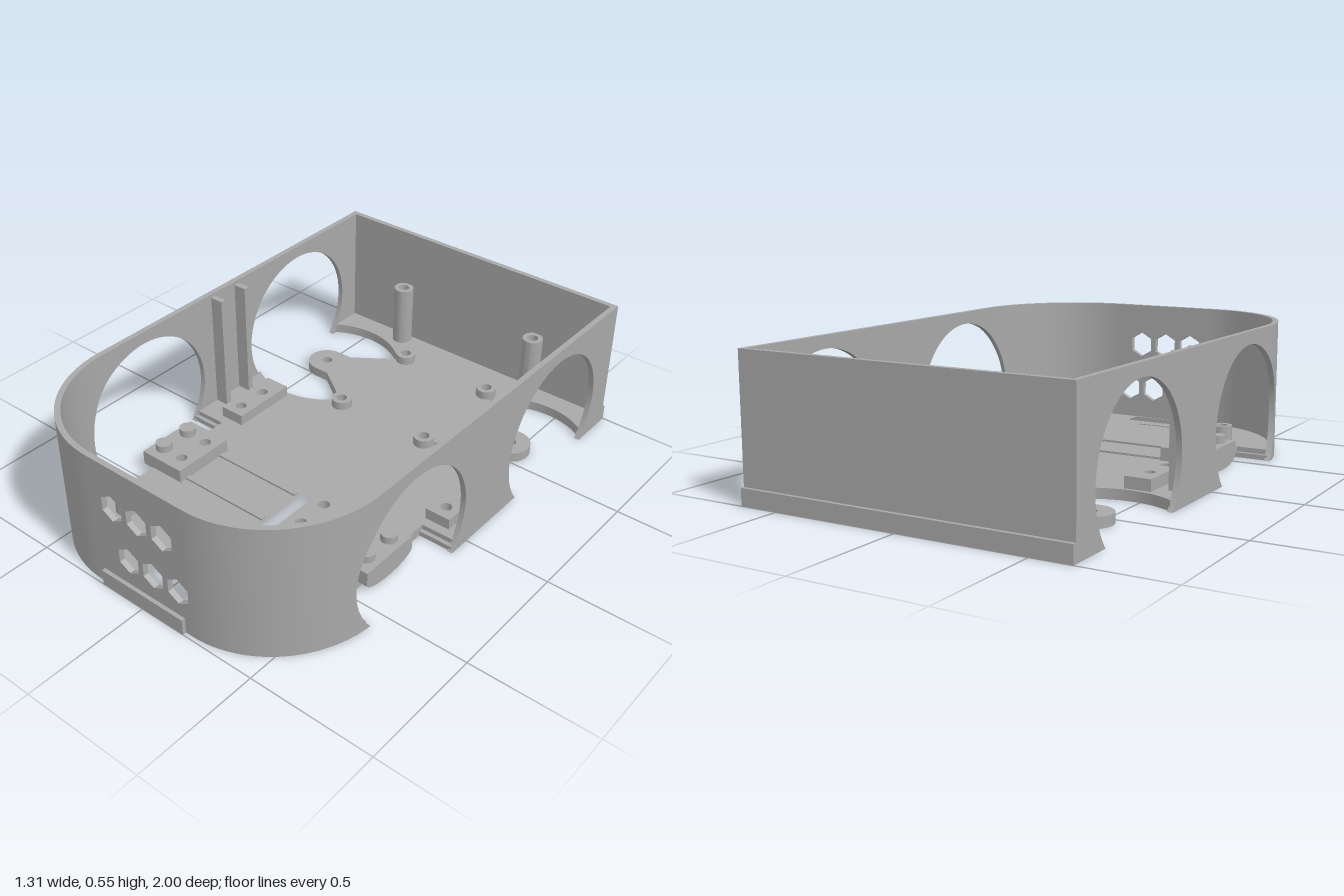
import * as THREE from 'three';
import { toCreasedNormals } from 'three/addons/utils/BufferGeometryUtils.js';

const H = 0.545, T = 0.022, FLOOR = 0.04, HOLE = 0.022;
const WHEEL_R = 0.305, WHEEL_Y = 0.19, WHEELS = [-0.565, 0.33];
const CORNER = { x: 0.222, z: 0.53, rx: 0.433, rz: 0.455 };

export function createModel() {
  const group = new THREE.Group();
  const grey = new THREE.MeshStandardMaterial({ color: 0xa8a8a8 });
  grey.name = 'grey plastic';

  const add = (name, geo) => {
    const mesh = new THREE.Mesh(toCreasedNormals(geo, 0.5), grey);
    mesh.name = name;
    group.add(mesh);
    return mesh;
  };
  const box = (name, x0, x1, y0, y1, z0, z1) =>
    add(name, new THREE.BoxGeometry(x1 - x0, y1 - y0, z1 - z0)
      .translate((x0 + x1) / 2, (y0 + y1) / 2, (z0 + z1) / 2));

  // Plan shapes are drawn as (x, -z) and raised from y0 to y1
  const circle = (x, z, r) => new THREE.Path().absarc(x, -z, r, 0, Math.PI * 2);
  const rect = (x0, x1, z0, z1) => [[x0, z0], [x1, z0], [x1, z1], [x0, z1]].map(([x, z]) => new THREE.Vector2(x, -z));
  const raise = (name, points, holes, y0, y1) => {
    const shape = new THREE.Shape(points);
    shape.holes = holes;
    const geo = new THREE.ExtrudeGeometry(shape, { depth: y1 - y0, bevelEnabled: false, curveSegments: 12 });
    return add(name, geo.rotateX(-Math.PI / 2).translate(0, y0, 0));
  };
  const arc = (cx, cz, rx, rz, a0, a1, n) => Array.from({ length: n + 1 }, (_, i) => {
    const a = a0 + (a1 - a0) * i / n;
    return [cx + rx * Math.cos(a), cz + rz * Math.sin(a)];
  });

  // Screw positions
  const posts = [];
  for (const s of [-1, 1]) {
    posts.push([s * 0.33, -0.925, 0.3], [s * 0.21, -0.79, 0.075],
      [s * 0.21, -0.345, 0.075], [s * 0.395, 0.695, 0.1]);
  }
  posts.push([0.59, -0.2, 0.3]);
  const pads = [
    { x0: -0.535, x1: -0.43, holes: [[-0.482, -0.155], [-0.482, -0.025]] },
    { x0: 0.49, x1: 0.595, holes: [[0.543, -0.025]] },
  ];
  const mounts = [
    { x0: -0.555, x1: -0.355, peg: -0.505, holes: [-0.41], lip: [-0.555, -0.49] },
    { x0: 0.14, x1: 0.55, peg: 0.495, holes: [0.195, 0.405], lip: [0.49, 0.55] },
  ];
  const mountZ = [0.26, 0.39];
  const mountHoles = m => m.holes.flatMap(x => mountZ.map(z => [x, z]));
  const screws = [...posts, ...pads.flatMap(p => p.holes), ...mounts.flatMap(mountHoles),
    [-0.475, -0.57], [0.475, -0.57]];

  // Floor outline with round rear wheel wells, pivot arms and square front wells
  const floorOutline = half => {
    const cx = 0.47, cz = -0.57, R = WHEEL_R;
    const aEdge = Math.acos(0.17 / R), aArm = Math.acos(-0.23 / R);
    const side = [
      [0.645, -0.98],
      ...arc(cx, cz, R, R, -aEdge, -aArm, 20),
      [0.41, -0.65], ...arc(0.475, cz, 0.08, 0.08, -Math.PI / 2, Math.PI / 2, 16), [0.41, -0.49],
      ...arc(cx, cz, R, R, aArm, aEdge, 20),
      [0.645, 0.33 - half], [0.505, 0.33 - half], [0.505, 0.33 + half], [0.64, 0.33 + half],
      ...arc(CORNER.x, CORNER.z, CORNER.rx - 0.01, CORNER.rz - 0.01, 0.2, Math.PI / 2, 24),
    ];
    const other = side.map(([x, z]) => [-x, z]).reverse();
    return [...side, ...other].map(([x, z]) => new THREE.Vector2(x, -z));
  };
  const cut = (...r) => new THREE.Path(rect(...r));
  raise('floorBottom', floorOutline(0.245), [
    ...screws.map(([x, z]) => circle(x, z, 0.034)),
    cut(0.035, 0.14, 0.2, 0.455), cut(-0.095, 0.088, 0.81, 0.905),
  ], 0, FLOOR / 2);
  raise('floorTop', floorOutline(0.262), [
    ...screws.map(([x, z]) => circle(x, z, HOLE)),
    cut(0.035, 0.139, 0.155, 0.49), cut(-0.135, 0.13, 0.8, 0.955), cut(-0.24, 0.225, -0.89, -0.855),
  ], FLOOR / 2, FLOOR);

  // Hollow screw posts
  for (const [x, z, top] of posts) {
    raise('screwPost', circle(x, z, 0.042).getPoints(16), [circle(x, z, HOLE)], FLOOR, top);
  }
  // Small pads beside the walls
  for (const p of pads) {
    raise('sidePad', rect(p.x0, p.x1, -0.25, 0.03), p.holes.map(([x, z]) => circle(x, z, HOLE)), FLOOR, 0.085);
  }
  // Motor mounts with pegs and a rounded support below the overhang
  for (const m of mounts) {
    raise('motorMount', rect(m.x0, m.x1, 0.195, 0.455), mountHoles(m).map(([x, z]) => circle(x, z, HOLE)), FLOOR, 0.095);
    for (const z of mountZ) {
      add('mountPeg', new THREE.CylinderGeometry(0.032, 0.032, 0.03, 24).translate(m.peg, 0.11, z));
    }
    const bowl = new THREE.Shape(arc(-0.325, FLOOR + 0.002, 0.13, 0.04, Math.PI, Math.PI * 2, 20)
      .map(p => new THREE.Vector2(...p)));
    add('mountSupport', new THREE.ExtrudeGeometry(bowl, { depth: m.lip[1] - m.lip[0], bevelEnabled: false })
      .rotateY(Math.PI / 2).translate(m.lip[0], 0, 0));
  }
  // Low rails between the mounts
  for (const z of [0.22, 0.405]) box('floorRail', -0.355, 0.035, FLOOR, FLOOR + 0.008, z, z + 0.022);
  // Upright board guides on one wall
  for (const z of [-0.2, -0.065]) box('boardGuide', -0.64, -0.578, FLOOR, 0.53, z, z + 0.025);

  // Side walls: columns along z, each with a bottom and top height
  const column = (t, z, lo, hi) => {
    const inZ = t > 0 ? CORNER.z + (CORNER.rz - T) * Math.sin(t) : z;
    const outX = CORNER.x + CORNER.rx * Math.cos(t), inX = CORNER.x + (CORNER.rx - T) * Math.cos(t);
    return [[outX, lo, z], [outX, hi, z], [inX, hi, inZ], [inX, lo, inZ]];
  };
  const at = (z, lo, hi) => column(Math.asin(Math.max(0, (z - CORNER.z) / CORNER.rz)), z, lo, hi);
  const loft = (cols, s) => {
    const pos = [];
    const tri = (a, b, c) => {
      for (const p of s > 0 ? [a, b, c] : [a, c, b]) pos.push(p[0] * s, p[1], p[2]);
    };
    const quad = (a, b, c, d) => { tri(a, b, c); tri(a, c, d); };
    for (let i = 0; i < cols.length - 1; i++) {
      const p = cols[i], q = cols[i + 1];
      for (let k = 0; k < 4; k++) quad(p[k], p[(k + 1) % 4], q[(k + 1) % 4], q[k]);
    }
    const first = cols[0], last = cols[cols.length - 1];
    quad(first[3], first[2], first[1], first[0]);
    quad(...last);
    const geo = new THREE.BufferGeometry();
    geo.setAttribute('position', new THREE.Float32BufferAttribute(pos, 3));
    geo.computeVertexNormals();
    add('sideWall', geo);
  };
  const steps = (n, f) => Array.from({ length: n + 1 }, (_, i) => f(i / n));
  const dip = Math.asin(WHEEL_Y / WHEEL_R);
  const [rear, front] = WHEELS;
  for (const s of [-1, 1]) {
    loft([at(-0.985, 0, H), at(rear - WHEEL_R, 0, H)], s);
    loft([at(rear + WHEEL_R, 0, H), at(front - WHEEL_R, 0, H)], s);
    const t0 = Math.asin((front + WHEEL_R - CORNER.z) / CORNER.rz);
    loft(steps(28, u => {
      const t = t0 + (Math.PI / 2 - t0) * u;
      return column(t, CORNER.z + CORNER.rz * Math.sin(t), 0, H);
    }), s);
    for (const c of WHEELS) {
      const rim = a => [c + WHEEL_R * Math.cos(a), WHEEL_Y + WHEEL_R * Math.sin(a)];
      const over = u => { const [z, y] = rim(Math.PI * (1 - u)); return at(z, y, H); };
      const under = (a0, a1) => u => { const [z, y] = rim(a0 + (a1 - a0) * u); return at(z, 0, Math.max(y, 0)); };
      loft(steps(48, over), s);
      loft(steps(12, under(Math.PI, Math.PI + dip)), s);
      loft(steps(12, under(-dip, 0)), s);
    }
  }

  // Front wall with hexagonal vents
  const panel = new THREE.Shape([[-CORNER.x, 0], [CORNER.x, 0], [CORNER.x, H], [-CORNER.x, H]]
    .map(p => new THREE.Vector2(...p)));
  const vents = [...[-0.119, -0.002, 0.115].map(x => [x, 0.37]),
    ...[-0.178, -0.061, 0.055, 0.172].map(x => [x, 0.172])];
  for (const [x, y] of vents) {
    panel.holes.push(new THREE.Path(arc(x, y, 0.054, 0.054, Math.PI / 6, Math.PI * 13 / 6, 6)
      .slice(0, 6).map(p => new THREE.Vector2(...p))));
  }
  add('frontWall', new THREE.ExtrudeGeometry(panel, { depth: T, bevelEnabled: false }).translate(0, 0, 0.985 - T));
  box('frontTab', -0.195, 0.195, 0, 0.065, 0.98, 1);

  // Back wall and its bottom ledge
  box('backWall', -0.655, 0.655, 0, H, -0.985, -0.985 + T);
  box('backLedge', -0.655, 0.655, 0, 0.065, -1, -0.98);

  return group;
}
